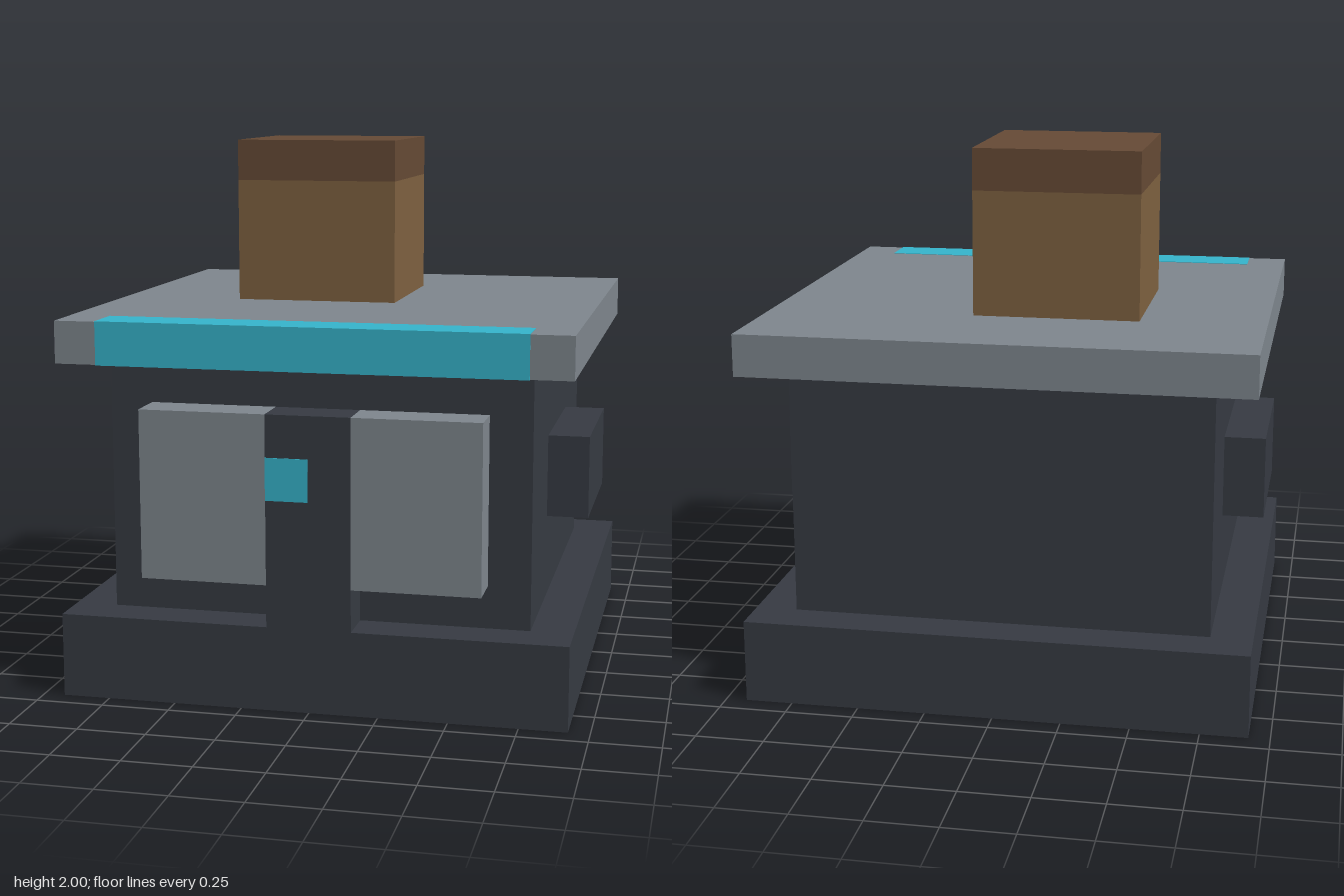
import * as THREE from 'three';

// The whole model sits on a block grid, 13 blocks tall
const U = 2 / 13;

function material(name, color) {
  const m = new THREE.MeshStandardMaterial({ color });
  m.name = name;
  return m;
}

export function createModel() {
  const group = new THREE.Group();
  const charcoal = material('charcoal', 0x363a42);
  const grey = material('grey', 0x7e868d);
  const cyan = material('cyan', 0x35b4cb);
  const wood = material('wood', 0x7e6140);
  const darkWood = material('darkWood', 0x664a35);

  // Box between two corners given in blocks; proud pushes every face out slightly
  function block(name, mat, [x0, y0, z0], [x1, y1, z1], proud = 0) {
    const size = [x1 - x0, y1 - y0, z1 - z0].map((s) => s * U + 2 * proud);
    const mesh = new THREE.Mesh(new THREE.BoxGeometry(...size), mat);
    mesh.position.set(x0 + x1, y0 + y1, z0 + z1).multiplyScalar(U / 2);
    mesh.name = name;
    group.add(mesh);
  }

  // Base, walls and roof
  block('base', charcoal, [-6, 0, -6], [6, 2, 6]);
  block('body', charcoal, [-5, 2, -5], [5, 8, 5]);
  block('roof', grey, [-6, 8, -6], [6, 9, 6]);
  block('roofStripe', cyan, [-5, 8, 5], [5, 9, 6], 0.002);

  // Chimney with its cap
  block('chimney', wood, [-3, 9, -3], [1, 12, 1]);
  block('chimneyCap', darkWood, [-3, 12, -3], [1, 13, 1]);

  // Front door and its handle plate
  block('door', charcoal, [-1, 2, 5], [1, 7, 6]);
  block('doorHandle', cyan, [-1, 5, 5.99], [0, 6, 6.02]);

  // Front panels and side boxes, mirrored
  block('leftPanel', grey, [1, 3, 5], [4, 7, 6]);
  block('rightPanel', grey, [-4, 3, 5], [-1, 7, 6]);
  block('leftSideBox', charcoal, [5, 4, -2], [6, 6, 2]);
  block('rightSideBox', charcoal, [-6, 4, -2], [-5, 6, 2]);

  return group;
}
